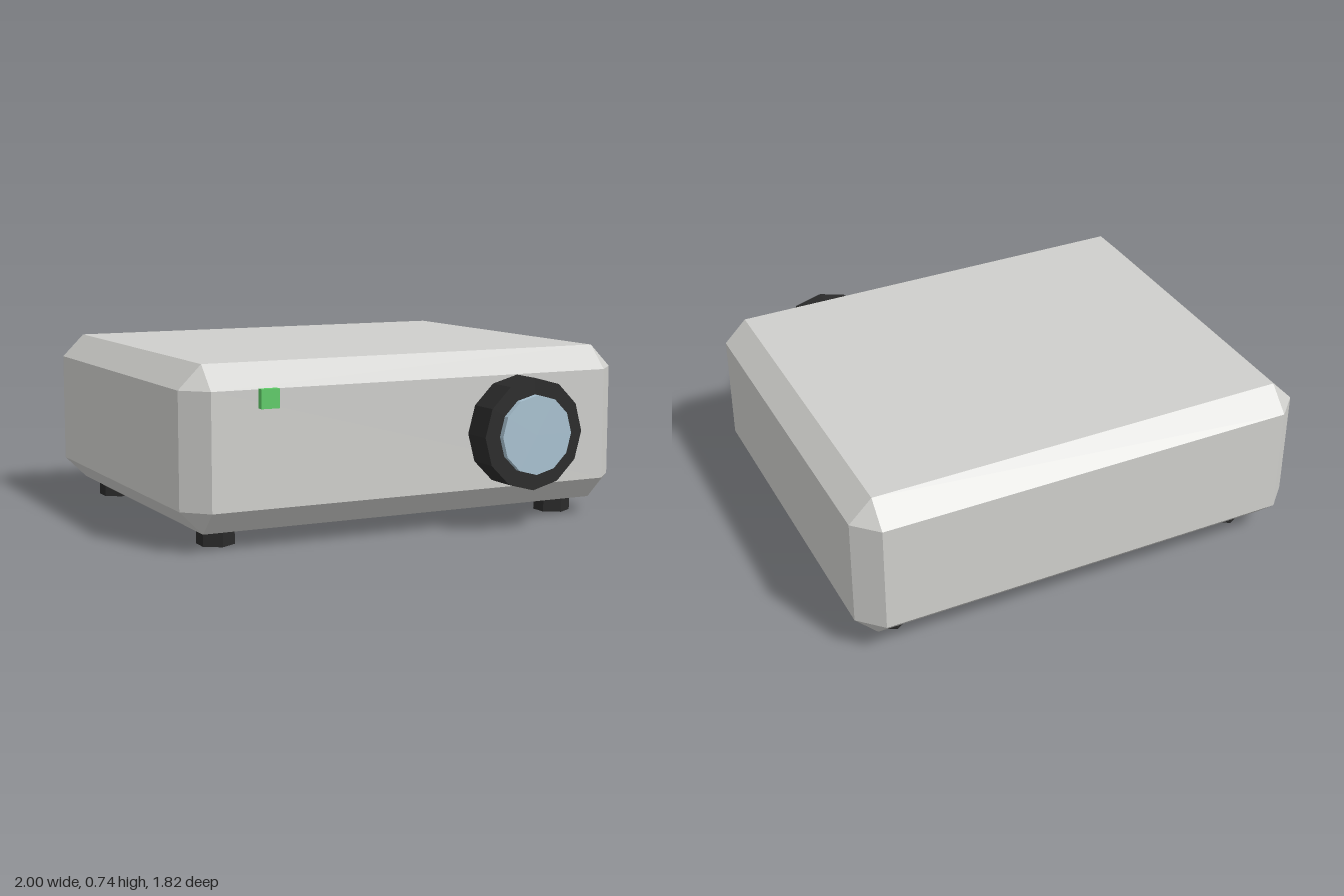
import * as THREE from 'three';
import { ConvexGeometry } from 'three/addons/geometries/ConvexGeometry.js';

// Box with chamfered edges and triangular corner facets
function chamferedBox(w, h, d, c) {
  const points = [];
  for (const sx of [-1, 1]) for (const sy of [-1, 1]) for (const sz of [-1, 1]) {
    const x = w / 2, y = h / 2, z = d / 2;
    points.push(
      new THREE.Vector3(sx * x, sy * (y - c), sz * (z - c)),
      new THREE.Vector3(sx * (x - c), sy * y, sz * (z - c)),
      new THREE.Vector3(sx * (x - c), sy * (y - c), sz * z)
    );
  }
  return new ConvexGeometry(points);
}

// Faceted cylinder
function prism(radius, height, sides) {
  const g = new THREE.CylinderGeometry(radius, radius, height, sides).toNonIndexed();
  g.computeVertexNormals();
  return g;
}

export function createModel() {
  const group = new THREE.Group();
  const material = (name, color) => {
    const m = new THREE.MeshStandardMaterial({ color });
    m.name = name;
    return m;
  };
  const casing = material('casing grey', 0xcfcfcc);
  const black = material('black plastic', 0x2a2a2a);
  const glass = material('lens glass', 0xa9c2d1);
  const green = material('indicator green', 0x5fcc68);

  const add = (name, geometry, mat, x, y, z) => {
    const mesh = new THREE.Mesh(geometry, mat);
    mesh.name = name;
    mesh.position.set(x, y, z);
    group.add(mesh);
    return mesh;
  };

  // Casing
  add('casing', chamferedBox(2, 0.665, 1.66, 0.097), casing, 0, 0.4025, -0.08);

  // Lens barrel and glass on the front
  add('lensBarrel', prism(0.233, 0.185, 12).rotateX(Math.PI / 2), black, 0.465, 0.403, 0.7925);
  add('lensGlass', prism(0.165, 0.05, 12).rotateX(Math.PI / 2), glass, 0.465, 0.403, 0.885);

  // Indicator light
  add('indicatorLight', new THREE.BoxGeometry(0.077, 0.077, 0.036), green, -0.668, 0.602, 0.759);

  // Four hexagonal feet
  for (const x of [-0.8, 0.8]) {
    for (const z of [0.525, -0.68]) {
      add('foot', prism(0.078, 0.08, 6), black, x, 0.04, z);
    }
  }
  return group;
}
